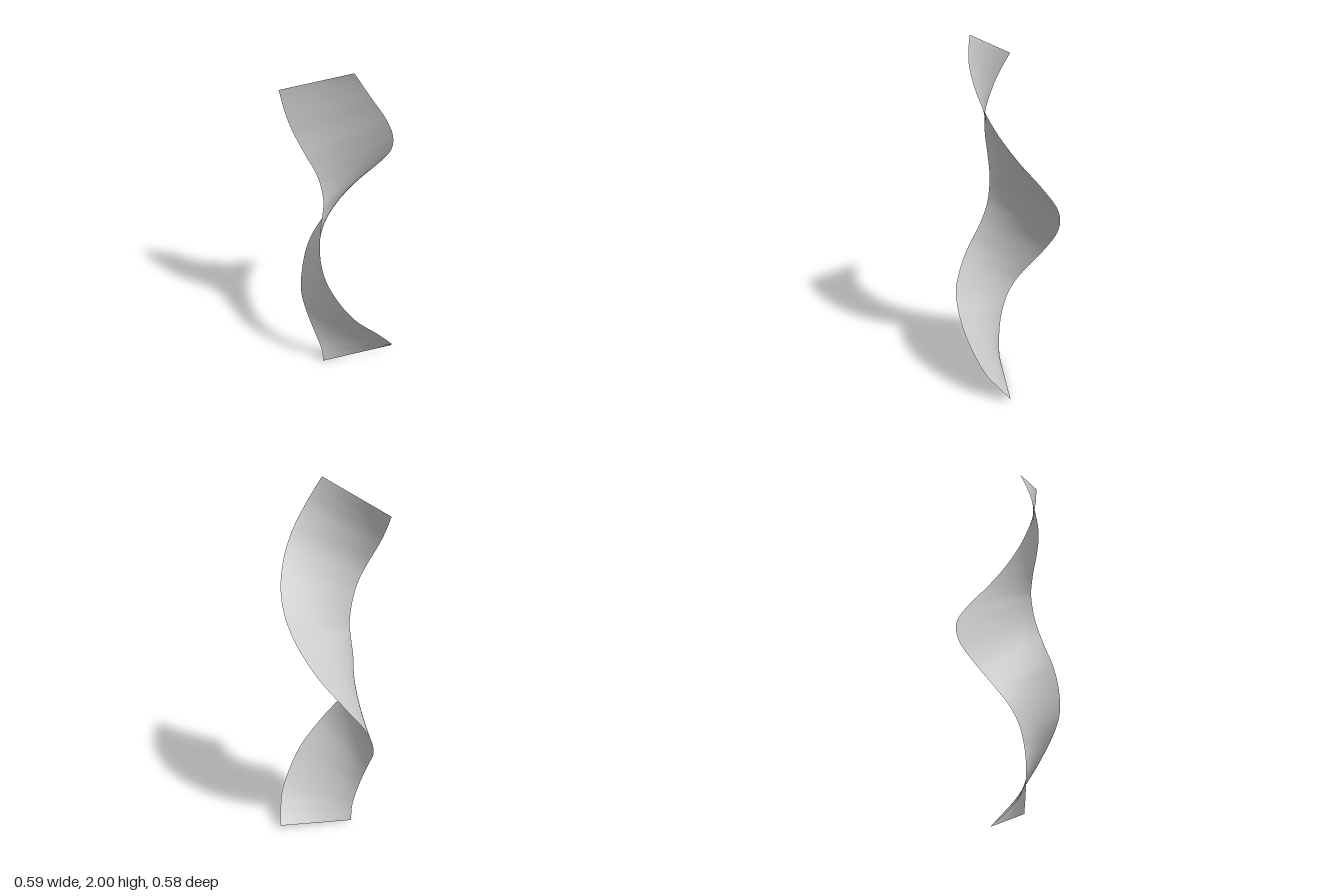
import * as THREE from 'three';

// Matching points along the two long edges of the ribbon, bottom to top
const EDGE_A = [
  [-0.13, 0, 0.016], [-0.134, 0.075, 0.021], [-0.145, 0.14, 0.019], [-0.18, 0.27, 0],
  [-0.212, 0.4, -0.045], [-0.222, 0.49, -0.1], [-0.197, 0.59, -0.17], [-0.13, 0.73, -0.253],
  [0, 0.9, -0.291], [0.147, 1.09, -0.25], [0.24, 1.27, -0.135], [0.264, 1.42, -0.015],
  [0.235, 1.57, 0.09], [0.17, 1.72, 0.165], [0.085, 1.86, 0.198], [0.042, 1.93, 0.195], [0, 2, 0.182],
];
const EDGE_B = [
  [0.295, 0.02, 0.03], [0.278, 0.1, 0.1], [0.25, 0.185, 0.168], [0.128, 0.39, 0.263],
  [-0.015, 0.56, 0.285], [-0.098, 0.68, 0.243], [-0.148, 0.79, 0.184], [-0.161, 0.89, 0.128],
  [-0.151, 1.02, 0.084], [-0.133, 1.14, 0.071], [-0.125, 1.22, 0.071], [-0.138, 1.33, 0.079],
  [-0.17, 1.44, 0.087], [-0.215, 1.54, 0.076], [-0.268, 1.67, 0.02], [-0.288, 1.75, -0.025], [-0.298, 1.83, -0.075],
];

const curveThrough = (points) =>
  new THREE.CatmullRomCurve3(points.map((p) => new THREE.Vector3(...p)));

// Ruled surface: straight lines across from one edge curve to the other
function ruledSurface(curveA, curveB, across, along) {
  const geometry = new THREE.PlaneGeometry(1, 1, across, along);
  const position = geometry.attributes.position;
  const p = new THREE.Vector3();
  for (let j = 0, k = 0; j <= along; j++) {
    const t = 1 - j / along;
    const a = curveA.getPoint(t);
    const b = curveB.getPoint(t);
    for (let i = 0; i <= across; i++, k++) {
      p.lerpVectors(a, b, i / across);
      position.setXYZ(k, p.x, p.y, p.z);
    }
  }
  geometry.computeVertexNormals();
  return geometry;
}

export function createModel() {
  const group = new THREE.Group();
  group.name = 'twistedRibbon';
  const material = new THREE.MeshStandardMaterial({ color: 0xcccccc, side: THREE.DoubleSide });
  const ribbon = new THREE.Mesh(
    ruledSurface(curveThrough(EDGE_A), curveThrough(EDGE_B), 24, 144), material);
  ribbon.name = 'ribbon';
  group.add(ribbon);
  return group;
}
